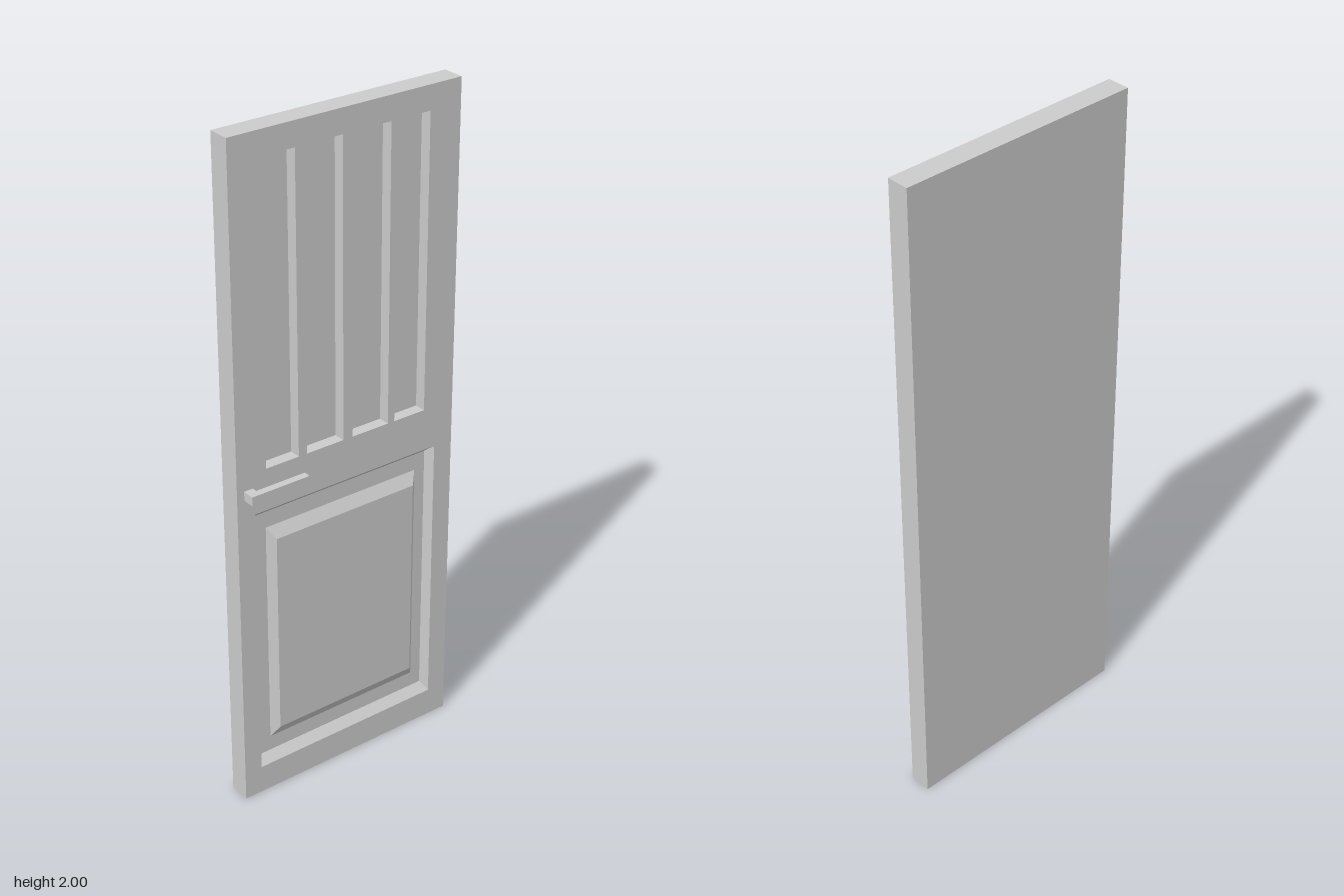
import * as THREE from 'three';

const FRONT = 0.013, BACK = -0.053;
const material = new THREE.MeshStandardMaterial({ color: 0xcccccc, flatShading: true });

// Corners of a rectangle at depth z, anticlockwise from the front
const rect = (x0, x1, y0, y1, z) => [[x0, y0, z], [x1, y0, z], [x1, y1, z], [x0, y1, z]];

// A ring shrunk to its centre, used to cap a loft
const centre = ([a, , c]) => Array(4).fill([(a[0] + c[0]) / 2, (a[1] + c[1]) / 2, a[2]]);

// Joins successive four-cornered rings with flat faces
function loft(rings) {
  const pos = [];
  for (let r = 0; r < rings.length - 1; r++) {
    const a = rings[r], b = rings[r + 1];
    for (let i = 0; i < 4; i++) {
      const j = (i + 1) % 4;
      pos.push(...a[i], ...a[j], ...b[j], ...a[i], ...b[j], ...b[i]);
    }
  }
  const g = new THREE.BufferGeometry();
  g.setAttribute('position', new THREE.Float32BufferAttribute(pos, 3));
  g.computeVertexNormals();
  return g;
}

const path = (ring, Type) => new Type(ring.map(([x, y]) => new THREE.Vector2(x, y)));

export function createModel() {
  const door = new THREE.Group();
  door.name = 'door';
  const add = (name, geometry) => {
    const mesh = new THREE.Mesh(geometry, material);
    mesh.name = name;
    door.add(mesh);
  };

  // Back and edges of the leaf
  const backRing = rect(-0.365, 0.365, 0, 2, BACK);
  const frontRing = rect(-0.365, 0.365, 0, 2, FRONT);
  add('leafBackAndEdges', loft([centre(backRing), backRing, frontRing]));

  // Four tall recessed slots in the upper half
  const slots = [[-0.27, -0.164], [-0.137, -0.016], [0.016, 0.137], [0.159, 0.264]];
  const openings = slots.map(([x0, x1], i) => {
    const mouth = rect(x0, x1, 1.06, 1.93, FRONT);
    const floor = rect(x0, x1, 1.06, 1.93, FRONT - 0.035);
    add(`upperSlot${i + 1}`, loft([mouth, floor, centre(floor)]));
    return mouth;
  });

  // Lower panel: bevelled recess around a raised field
  const mouth = rect(-0.309, 0.304, 0.087, 0.933, FRONT);
  const field = rect(-0.238, 0.233, 0.196, 0.827, FRONT - 0.004);
  add('lowerPanel', loft([
    mouth,
    rect(-0.293, 0.289, 0.112, 0.911, FRONT - 0.025),
    rect(-0.259, 0.254, 0.159, 0.861, FRONT - 0.025),
    field,
    centre(field),
  ]));
  openings.push(mouth);

  // Front face, cut out for the recesses
  const face = path(frontRing, THREE.Shape);
  face.holes = openings.map((ring) => path(ring, THREE.Path));
  add('leafFront', new THREE.ShapeGeometry(face).translate(0, 0, FRONT));

  // L-shaped lever handle, drawn from above and extruded upwards
  const plan = [[-0.342, 0.05], [-0.156, 0.05], [-0.156, 0.028], [-0.314, 0.028], [-0.314, FRONT], [-0.342, FRONT]];
  const lever = new THREE.Shape(plan.map(([x, z]) => new THREE.Vector2(x, -z)));
  const handle = new THREE.ExtrudeGeometry(lever, { depth: 0.027, bevelEnabled: false });
  add('handle', handle.rotateX(-Math.PI / 2).translate(0, 0.988, 0));

  return door;
}
